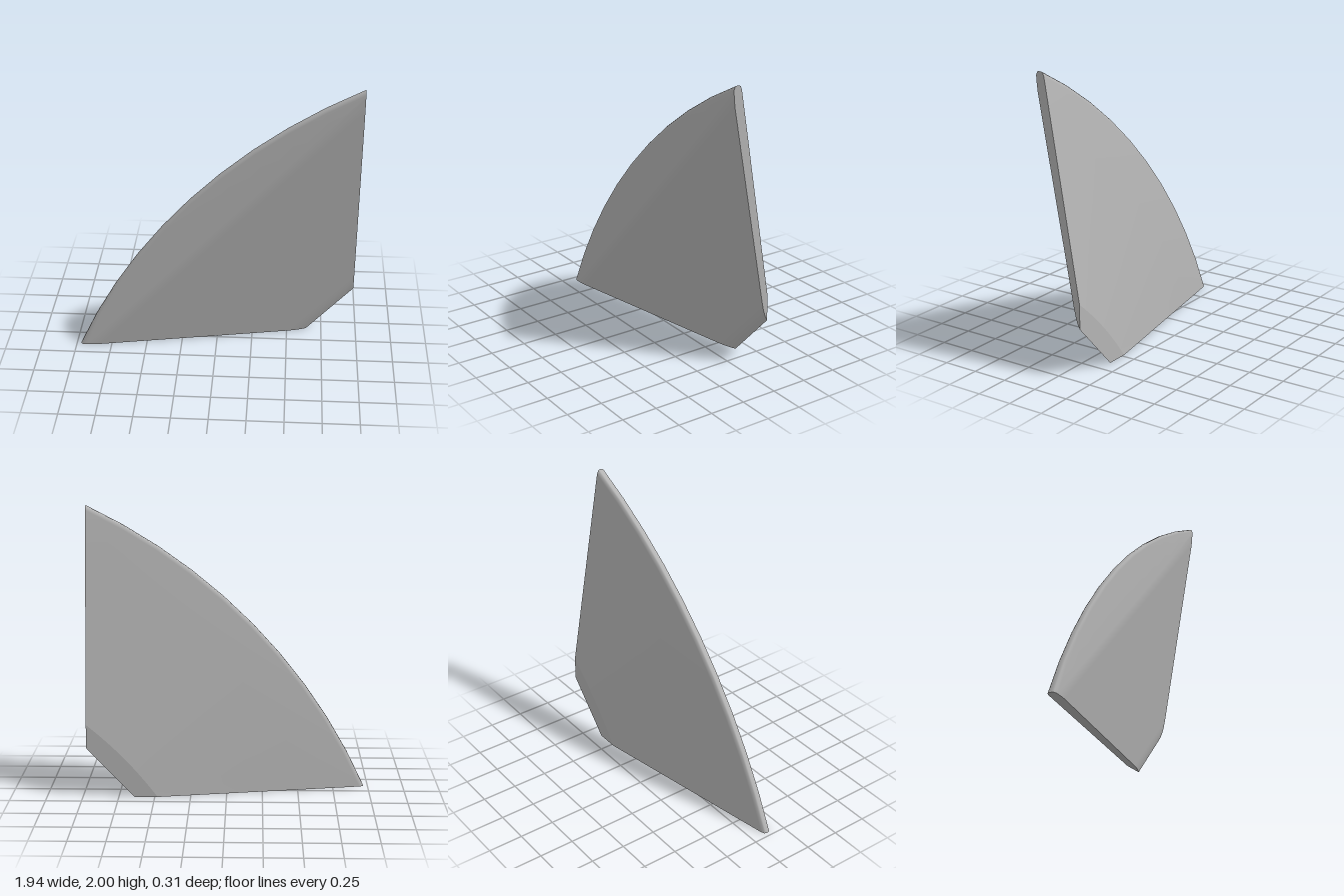
import * as THREE from 'three';

const V = (x, y) => new THREE.Vector2(x, y);
const centre = V(2.69, -1.61);
const SEGS = 10;

// Point at t on the arc from p to q around the shared centre
function arc(p, q, t) {
  const a = p.clone().sub(centre), b = q.clone().sub(centre);
  const angle = THREE.MathUtils.lerp(a.angle(), b.angle(), t);
  const r = THREE.MathUtils.lerp(a.length(), b.length(), t);
  return V(centre.x + r * Math.cos(angle), centre.y + r * Math.sin(angle));
}

// Distance toward the clipped corner, along the diagonal
const diag = (p) => p.x * 0.718 - p.y * 0.696;

// Front relief as [diagonal distance, z]: flat rim, sloped plane, rounded lip
const relief = [[-0.665, 0.154], [-0.636, 0.151], [-0.6, 0.145],
  [0.36, -0.111], [0.4, -0.124], [0.43, -0.138]];

// One cross-section from the corner, up the back, round the rim, down the front
function section(t) {
  const rim = arc(V(-0.97, 0), V(0.97, 2), t);
  const ring = arc(V(0.48, 0), V(0.97, 0.52), t);
  const cut = V(0.64, 0).lerp(V(0.97, 0.35), t);
  const pts = [];
  const add = (a, b, f, z) => {
    const p = a.clone().lerp(b, f);
    pts.push(new THREE.Vector3(p.x, p.y, z));
  };
  add(cut, ring, 0, -0.155);
  for (const s of [1, 0.75, 0.5, 0.25, 0.02]) add(rim, ring, s, 0.1 - 0.255 * s);
  add(rim, cut, 0.004, 0.105);
  add(rim, cut, 0, 0.115);
  add(rim, cut, 0, 0.138);
  add(rim, cut, 0.004, 0.148);
  add(rim, cut, 0.016, 0.155);
  const d0 = diag(rim), d1 = diag(cut);
  for (const [d, z] of relief) add(rim, cut, (d - d0) / (d1 - d0), z);
  add(rim, cut, 1, -0.155);
  return pts;
}

function build(points, index) {
  const geo = new THREE.BufferGeometry().setFromPoints(points);
  geo.setIndex(index);
  geo.computeVertexNormals();
  return geo;
}

// Smooth skin over a range of section rows
function skin(sections, from, to) {
  const rows = sections.map((s) => s.slice(from, to + 1));
  const n = to - from + 1, index = [];
  for (let i = 0; i < rows.length - 1; i++) {
    for (let j = 0; j < n - 1; j++) {
      const a = i * n + j, b = a + n;
      index.push(a, a + 1, b, a + 1, b + 1, b);
    }
  }
  return build(rows.flat(), index);
}

// Flat end face, turned to face the given direction
function cap(points, axis, outward) {
  const pts = points.slice(0, -1);
  const flat = pts.map((p) => V(p[axis], p.z));
  const index = [];
  for (const [a, b, c] of THREE.ShapeUtils.triangulateShape(flat, [])) {
    const n = pts[b].clone().sub(pts[a]).cross(pts[c].clone().sub(pts[a]));
    index.push(...(n.dot(outward) > 0 ? [a, b, c] : [a, c, b]));
  }
  return build(pts, index);
}

export function createModel() {
  const group = new THREE.Group();
  group.name = 'dishSegment';
  const grey = new THREE.MeshStandardMaterial({ color: 0xb4b4b4 });
  grey.name = 'grey';
  const sections = Array.from({ length: SEGS + 1 }, (_, i) => section(i / SEGS));
  const last = sections[0].length - 1;
  const add = (name, geo) => {
    const mesh = new THREE.Mesh(geo, grey);
    mesh.name = name;
    group.add(mesh);
  };

  // Conical back, rounded rim and sloped front
  add('panelShell', skin(sections, 1, last));
  // Flat band behind the clipped corner
  add('backBand', skin(sections, 0, 1));
  // Straight cut faces
  add('bottomEdge', cap(sections[0], 'x', new THREE.Vector3(0, -1, 0)));
  add('sideEdge', cap(sections[SEGS], 'y', new THREE.Vector3(1, 0, 0)));
  return group;
}
